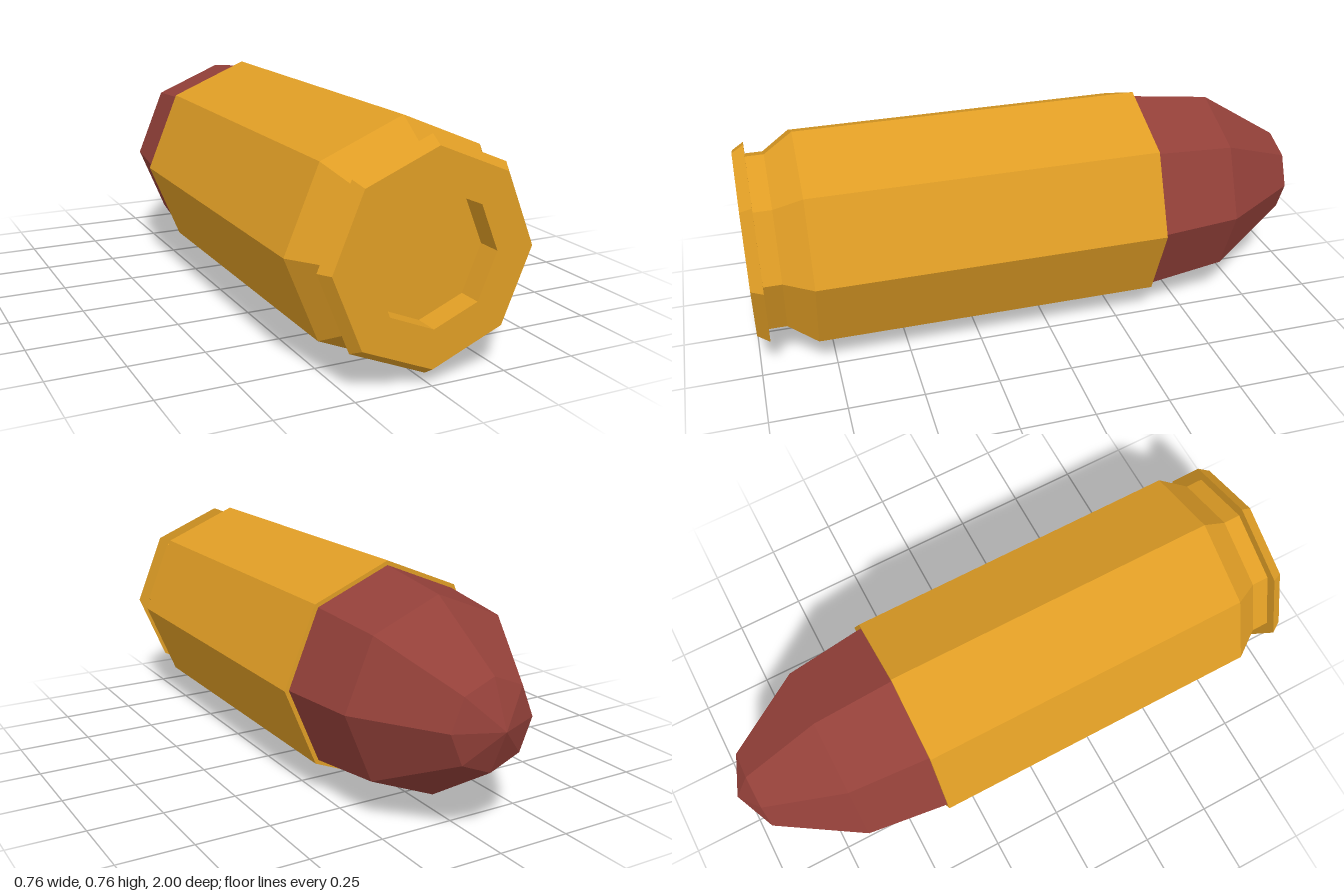
import * as THREE from 'three';

const SIDES = 8;
const AXIS_HEIGHT = 0.378;

// Turns [z, radius] pairs, listed from front to back, into an eight-sided solid along z.
function turned(name, profile, material) {
  const points = profile.map(([z, r]) => new THREE.Vector2(r, -z));
  const geometry = new THREE.LatheGeometry(points, SIDES);
  geometry.rotateX(-Math.PI / 2);
  const mesh = new THREE.Mesh(geometry, material);
  mesh.name = name;
  mesh.position.y = AXIS_HEIGHT;
  return mesh;
}

export function createModel() {
  const brass = new THREE.MeshStandardMaterial({ color: 0xdf9d25, flatShading: true });
  brass.name = 'brass';
  const copper = new THREE.MeshStandardMaterial({ color: 0x934039, flatShading: true });
  copper.name = 'copper red';

  const group = new THREE.Group();
  group.name = 'cartridge';

  // Casing: primer recess, flared rim, extractor groove, body and mouth
  group.add(turned('casing', [
    [0.92, 0], [0.92, 0.205], [1, 0.205],
    [1, 0.327], [0.96, 0.353], [0.96, 0.31],
    [0.9, 0.31], [0.805, 0.378], [-0.375, 0.378], [-0.375, 0.35],
  ], brass));

  // Bullet: tapered shoulder, ogive and pointed nose
  group.add(turned('bullet', [
    [-0.35, 0.366], [-0.655, 0.327], [-0.935, 0.148], [-1, 0],
  ], copper));

  return group;
}
